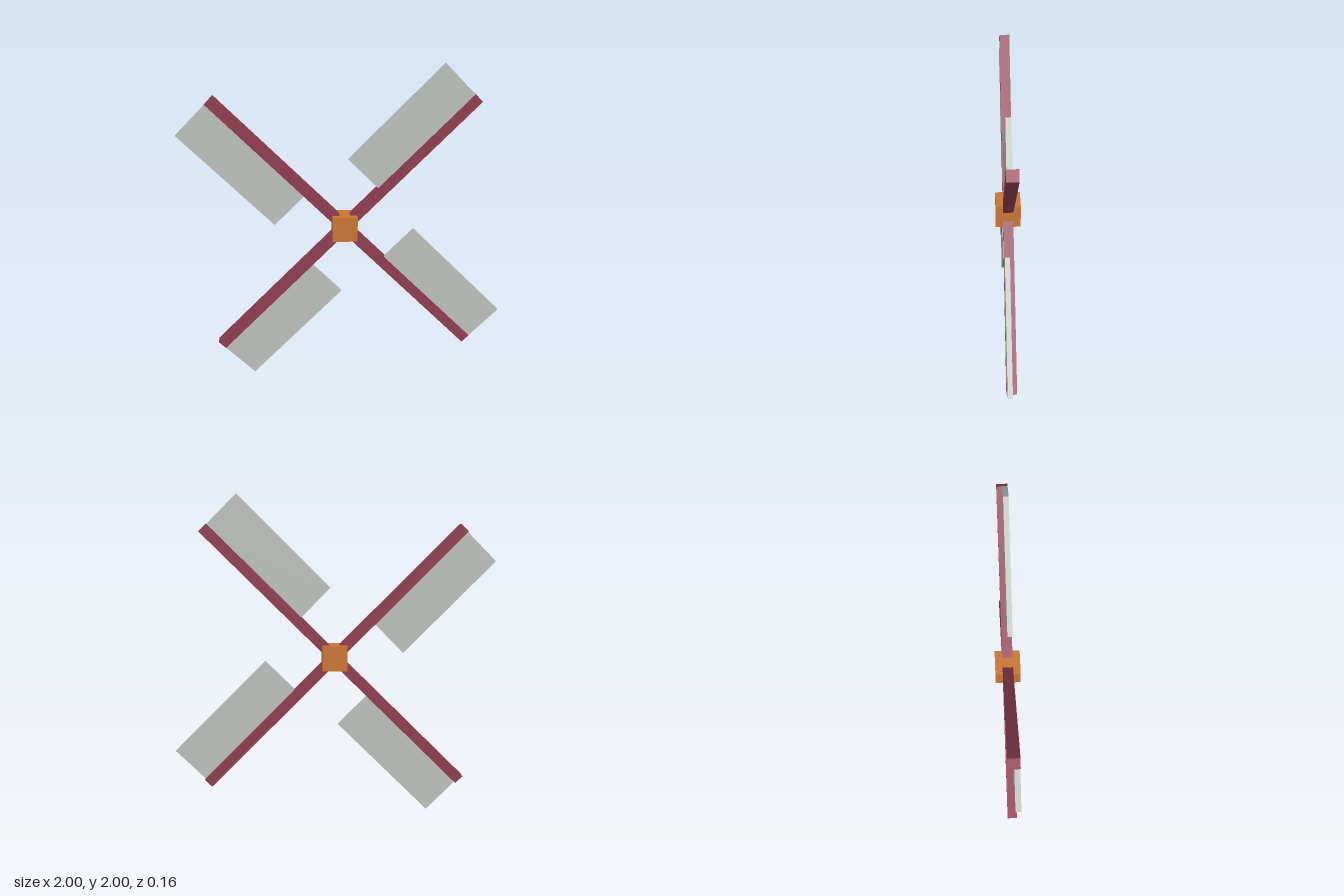
import * as THREE from 'three';

export function createModel() {
  const model = new THREE.Group();
  model.name = 'windmillSails';

  const hubOrange = new THREE.MeshStandardMaterial({ color: 0xc87533 });
  hubOrange.name = 'hub orange';
  const armRed = new THREE.MeshStandardMaterial({ color: 0x8f3c50 });
  armRed.name = 'arm dark red';
  const sailGrey = new THREE.MeshStandardMaterial({ color: 0xbabeba });
  sailGrey.name = 'sail grey';

  const LENGTH = 1.126; // arm reach from the hub centre
  const ARM = 0.064; // square arm section
  const SAIL_START = 0.322;
  const SAIL_EDGE = 0.288; // outer sail edge, measured from the arm axis

  const box = (name, w, h, d, material, x, y, z) => {
    const mesh = new THREE.Mesh(new THREE.BoxGeometry(w, h, d), material);
    mesh.name = name;
    mesh.position.set(x, y, z);
    return mesh;
  };

  const rotor = new THREE.Group();
  rotor.name = 'rotor';
  rotor.position.y = 1;
  model.add(rotor);

  // Cubic hub
  rotor.add(box('hub', 0.155, 0.155, 0.155, hubOrange, 0, 0, 0));

  // Four identical blades on the diagonals, each laid out along +x then turned
  const sailInner = 0.02; // tucked into the arm
  for (let i = 0; i < 4; i++) {
    const blade = new THREE.Group();
    blade.name = `blade${i + 1}`;
    blade.rotation.z = Math.PI / 4 + (i * Math.PI) / 2;
    blade.add(box('arm', LENGTH, ARM, ARM, armRed, LENGTH / 2, 0, 0));
    // Sail sits on the front half of the arm, on its counter-clockwise side
    blade.add(box('sail', LENGTH - SAIL_START - 0.001, SAIL_EDGE - sailInner, 0.03, sailGrey,
      (LENGTH + SAIL_START - 0.001) / 2, (SAIL_EDGE + sailInner) / 2, 0.015));
    rotor.add(blade);
  }

  return model;
}
